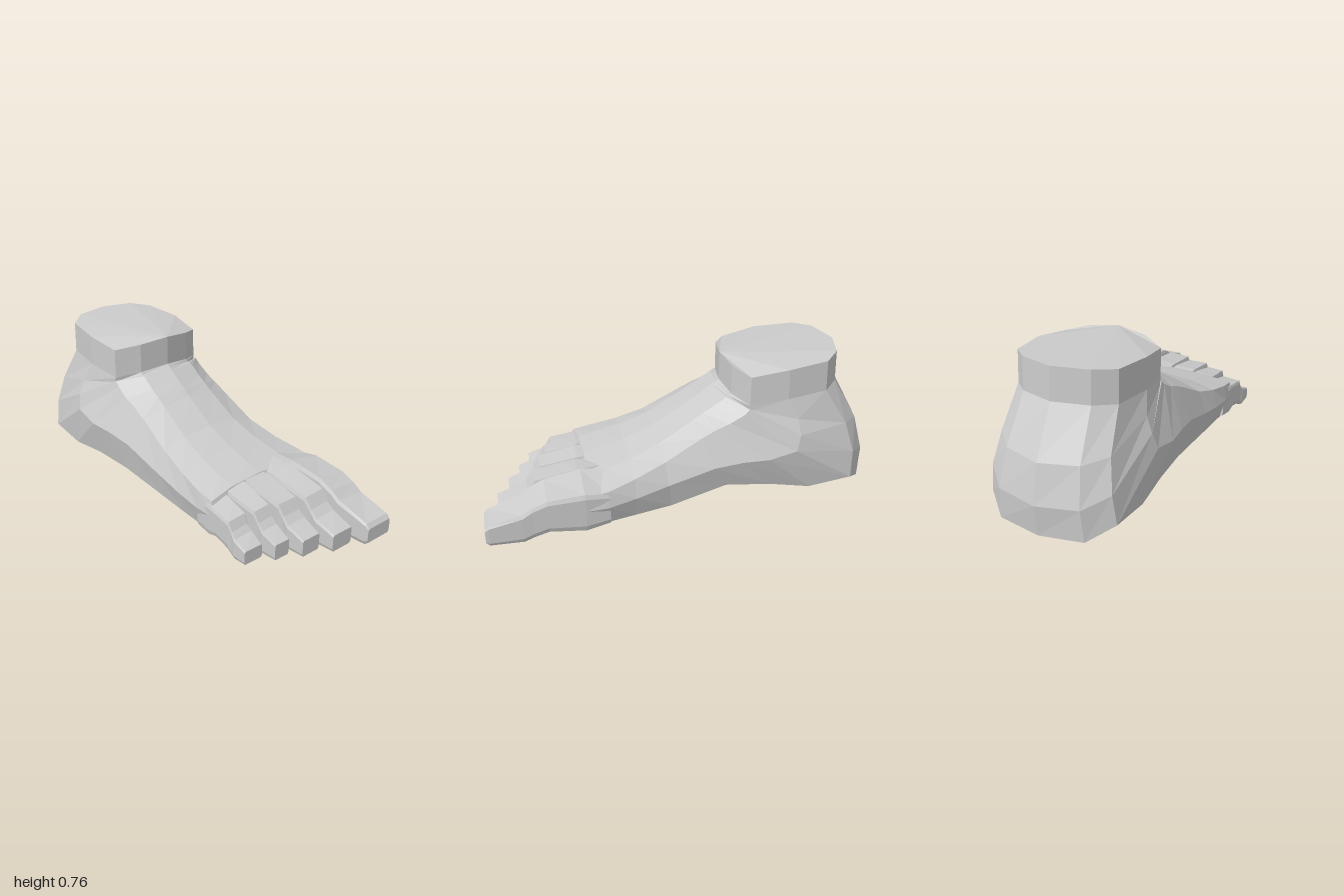
import * as THREE from 'three';

const material = new THREE.MeshStandardMaterial({ color: 0xcccccc, flatShading: true });

// Closed skin through equal-sized rings, capped at both ends
function loft(name, rings) {
  const n = rings[0].length;
  const index = [];
  for (let i = 0; i < rings.length - 1; i++) {
    for (let j = 0; j < n; j++) {
      const k = (j + 1) % n;
      const a = i * n + j, b = i * n + k, c = a + n, d = b + n;
      index.push(a, b, d, a, d, c);
    }
  }
  const last = (rings.length - 1) * n;
  for (let j = 1; j < n - 1; j++) {
    index.push(0, j + 1, j, last, last + j, last + j + 1);
  }
  const geometry = new THREE.BufferGeometry();
  geometry.setAttribute('position', new THREE.Float32BufferAttribute(rings.flat(2), 3));
  geometry.setIndex(index);
  const flat = geometry.toNonIndexed();
  flat.computeVertexNormals();
  const mesh = new THREE.Mesh(flat, material);
  mesh.name = name;
  return mesh;
}

// Half outline of a slice: [share of half width, share of the way from top to bottom]
const half = [[0, 0], [0.5, 0.04], [0.87, 0.15], [1, 0.46], [0.9, 0.86], [0.6, 0.97], [0, 1]];
const archShare = [0, 0, 0, 0, 1, 0.6, 0];
const dropShare = [0, 0.4, 1, 0.4, 0.2, 0, 0];
const roundShare = [0, 0, 0, 0, 0.06, 0.04, 0];

// Slice tilted between a top point and a bottom point in the side plane
function footRing([topZ, topY, botZ, botY, right, left, topScale, arch = 0, drop = 0, round = 0]) {
  const point = (i, side) => {
    const [u, share] = half[i];
    const t = share - round * roundShare[i];
    return [
      u * (side > 0 ? left : -right) * (i < 3 ? topScale : 1),
      topY + (botY - topY) * t + (side > 0 ? arch * archShare[i] : 0) - drop * dropShare[i],
      topZ + (botZ - topZ) * t,
    ];
  };
  const ring = half.map((_, i) => point(i, 1));
  for (let i = half.length - 2; i > 0; i--) ring.push(point(i, -1));
  return ring;
}

// Slices fan round from the upright forefoot to the level ankle:
// top z, top y, bottom z, bottom y, half width at -x, half width at +x, instep width share, arch, drop, roundness
const footSlices = [
  [0.48, 0.25, 0.58, 0.025, 0.325, 0.37, 1.1],
  [0.40, 0.272, 0.42, 0.0, 0.328, 0.366, 1.1],
  [0.27, 0.305, 0.27, 0.005, 0.33, 0.347, 1.05],
  [0.12, 0.365, 0.08, 0.01, 0.33, 0.325, 1.0],
  [-0.05, 0.468, -0.22, 0.03, 0.345, 0.33, 0.92, 0.05, -0.01],
  [-0.09, 0.497, -0.48, 0.03, 0.36, 0.34, 0.88, 0.02, -0.02],
  [-0.13, 0.523, -0.72, 0.0, 0.372, 0.352, 0.85, 0, -0.03],
  [-0.17, 0.55, -0.98, 0.02, 0.365, 0.35, 0.86, 0, -0.045],
  [-0.195, 0.567, -1.0, 0.18, 0.345, 0.33, 0.9, 0, -0.03, 0.3],
  [-0.215, 0.58, -0.96, 0.37, 0.315, 0.295, 0.98, 0, 0.02, 0.6],
  [-0.23, 0.593, -0.835, 0.6, 0.29, 0.27, 1.06, 0, 0.04, 1],
  [-0.23, 0.742, -0.83, 0.76, 0.29, 0.265, 1.06, 0, 0.04, 1],
];

// Toe section with narrow bevels: [across, up]
const toeOutline = [[-0.9, 1], [0.9, 1], [1, 0.9], [1, 0.15], [0.9, 0], [-0.9, 0], [-1, 0.15], [-1, 0.9]];

// Stations from tip to base: share of length, top, bottom, width share
const bigToeStations = [
  [0, 0.105, 0.03, 0.94], [0.03, 0.125, 0.015, 0.97], [0.3, 0.172, 0.012, 1],
  [0.38, 0.205, 0.03, 0.98], [0.5, 0.235, 0.05, 0.98], [0.8, 0.255, 0.03, 1], [1, 0.24, 0.05, 0.88],
];
const smallToeStations = [
  [0, 0.1, 0.015, 0.95], [0.21, 0.135, 0.01, 1], [0.28, 0.165, 0.015, 0.9],
  [0.35, 0.215, 0.035, 0.97], [0.6, 0.235, 0.055, 1], [0.75, 0.248, 0.04, 1], [1, 0.245, 0.05, 0.85],
];

// Sides run from the tip span to the base span, where neighbouring toes meet
function toe(name, { tipSpan, baseSpan, tip, height, tilt = 0 }, stations) {
  const base = 0.4, crotch = 0.5;
  return loft(name, stations.map(([s, top, bottom, w]) => {
    const z = tip + (base - tip) * s;
    const blend = Math.min(1, (tip - z) / (tip - crotch));
    const x0 = THREE.MathUtils.lerp(tipSpan[0], baseSpan[0], blend);
    const x1 = THREE.MathUtils.lerp(tipSpan[1], baseSpan[1], blend);
    return toeOutline.map(([u, v]) => [
      (x0 + x1) / 2 + u * w * (x1 - x0) / 2,
      bottom + (top * height - bottom) * v - tilt * u * v * s,
      z,
    ]);
  }));
}

const toes = {
  secondToe: { tipSpan: [0.04, 0.172], baseSpan: [0.038, 0.168], tip: 0.93, height: 1.02, tilt: -0.01 },
  middleToe: { tipSpan: [-0.093, 0.02], baseSpan: [-0.1, 0.038], tip: 0.87, height: 0.99 },
  fourthToe: { tipSpan: [-0.207, -0.115], baseSpan: [-0.213, -0.1], tip: 0.81, height: 0.95, tilt: -0.01 },
  littleToe: { tipSpan: [-0.337, -0.225], baseSpan: [-0.325, -0.213], tip: 0.75, height: 0.84, tilt: -0.015 },
};

export function createModel() {
  const foot = new THREE.Group();
  foot.name = 'foot';
  foot.add(loft('footAndAnkle', footSlices.map(footRing)));

  // Toes, from the big toe outwards
  const bigToe = { tipSpan: [0.198, 0.362], baseSpan: [0.17, 0.37], tip: 1, height: 1, tilt: 0.025 };
  foot.add(toe('bigToe', bigToe, bigToeStations));
  for (const [name, shape] of Object.entries(toes)) foot.add(toe(name, shape, smallToeStations));
  return foot;
}
